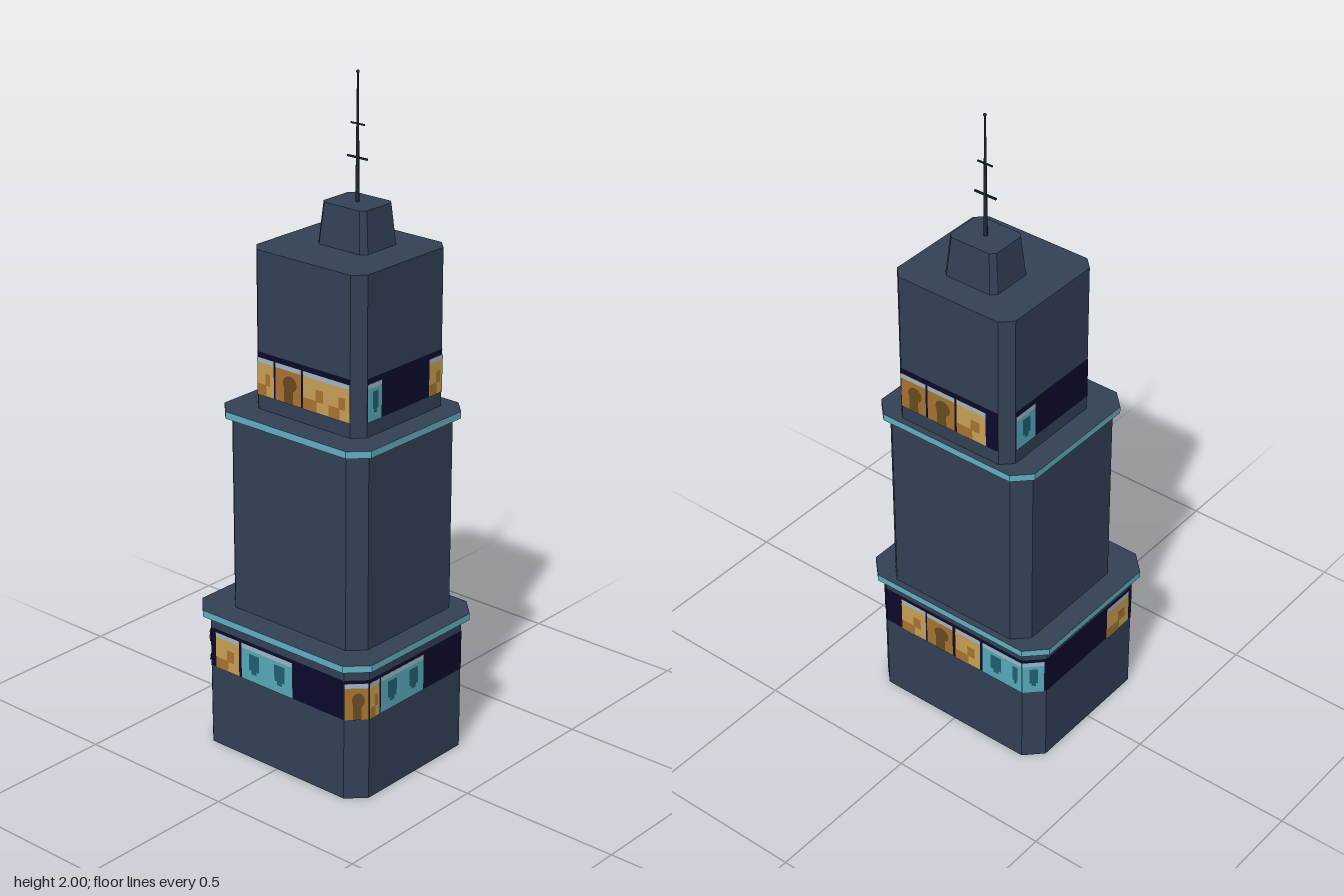
import * as THREE from 'three';

const mat = (name, color) => {
  const m = new THREE.MeshStandardMaterial({ color });
  m.name = name;
  return m;
};

export function createModel() {
  const M = {
    slate: mat('slate wall', 0x334155),
    navy: mat('dark glass', 0x0b0a2c),
    tan: mat('warm light', 0xc9a054),
    orange: mat('amber light', 0xa87430),
    brown: mat('brown silhouette', 0x6b4a20),
    cyan: mat('cool light', 0x58aabb),
    teal: mat('teal silhouette', 0x1f6070),
    pale: mat('pale blind', 0x9fb8c8),
    trim: mat('trim', 0x62b0c0),
    mast: mat('mast metal', 0x1e2733),
  };
  const model = new THREE.Group();
  model.name = 'tower';

  const add = (parent, name, geo, material, x = 0, y = 0, z = 0) => {
    const m = new THREE.Mesh(geo, material);
    m.name = name;
    m.position.set(x, y, z);
    parent.add(m);
    return m;
  };

  // Chamfered plan, walked left to right along each wall from outside, front wall first
  const plan = (hx, z0, z1, c) => [
    [-hx + c, z1], [hx - c, z1], [hx, z1 - c], [hx, z0 + c],
    [hx - c, z0], [-hx + c, z0], [-hx, z0 + c], [-hx, z1 - c],
  ];
  const prism = (pts, h) => {
    const shape = new THREE.Shape(pts.map(([x, z]) => new THREE.Vector2(x, -z)));
    return new THREE.ExtrudeGeometry(shape, { depth: h, bevelEnabled: false }).rotateX(-Math.PI / 2);
  };

  // Flat panel on wall i of a plan, between fractions u0..u1 and heights y0..y1
  const panel = (parent, name, pts, i, u0, u1, y0, y1, material, off, round = false) => {
    const a = pts[i], b = pts[(i + 1) % 8];
    const dx = b[0] - a[0], dz = b[1] - a[1], len = Math.hypot(dx, dz);
    const nx = -dz / len, nz = dx / len, u = (u0 + u1) / 2;
    const w = (u1 - u0) * len, h = y1 - y0;
    const geo = round ? new THREE.CircleGeometry(0.5, 12).scale(w, h, 1) : new THREE.PlaneGeometry(w, h);
    const m = add(parent, name, geo, material,
      a[0] + dx * u + nx * off, (y0 + y1) / 2, a[1] + dz * u + nz * off);
    m.rotation.y = Math.atan2(nx, nz);
  };

  // Lit window: glow, blind along the top, and silhouettes inside
  const litWindow = (parent, pts, [i, u0, u1, kind], y0, y1) => {
    const g = new THREE.Group();
    g.name = 'litWindow';
    parent.add(g);
    const U = (t) => u0 + (u1 - u0) * t, Y = (t) => y0 + (y1 - y0) * t;
    const put = (name, a, b, c, d, m, off, round) =>
      panel(g, name, pts, i, U(a), U(b), Y(c), Y(d), m, off, round);
    put('glow', 0, 1, 0, 1, M[kind], 0.003);
    put('blind', 0, 1, 0.88, 1, M.pale, 0.0045);
    if (kind === 'cyan') {
      put('figure', 0.32, 0.72, 0.32, 0.78, M.teal, 0.0045);
      put('figureBase', 0.42, 0.62, 0.22, 0.32, M.teal, 0.0045);
    } else if (kind === 'tan') {
      put('furniture', 0, 0.55, 0, 0.32, M.orange, 0.0045);
      put('figure', 0.5, 0.8, 0.3, 0.62, M.orange, 0.0045);
    } else {
      put('figureHead', 0.3, 0.85, 0.32, 0.75, M.brown, 0.0045, true);
      put('figureBody', 0.35, 0.7, 0, 0.45, M.brown, 0.0045);
    }
  };

  // Stacked tiers, flush at the back and stepped at the front
  const tiers = [
    { name: 'lowerTier', p: [0.305, -0.254, 0.254, 0.05], y: [0, 0.41] },
    { name: 'middleTier', p: [0.255, -0.254, 0.196, 0.044], y: [0.43, 1.02] },
    { name: 'upperTier', p: [0.203, -0.254, 0.132, 0.033], y: [1.04, 1.51] },
  ];
  for (const t of tiers) {
    t.pts = plan(...t.p);
    add(model, t.name, prism(t.pts, t.y[1] - t.y[0]), M.slate, 0, t.y[0], 0);
  }

  // Ledges with a bright edge
  const ledges = [
    [[0.325, -0.274, 0.274, 0.057], 0.41],
    [[0.273, -0.274, 0.212, 0.049], 1.02],
  ];
  for (const [p, y] of ledges) add(model, 'ledge', prism(plan(...p), 0.021), [M.slate, M.trim], 0, y, 0);

  // Lower window band wraps the whole tier; upper band covers only the four flat walls
  const bands = [
    { name: 'lowerWindowBand', pts: tiers[0].pts, walls: [0, 1, 2, 3, 4, 5, 6, 7], y: [0.252, 0.375], top: 0.365,
      lit: [
        [0, 0.04, 0.22, 'tan'], [0, 0.24, 0.43, 'cyan'], [0, 0.43, 0.625, 'cyan'],
        [1, 0.03, 0.97, 'orange'],
        [2, 0, 0.1, 'tan'], [2, 0.115, 0.345, 'cyan'], [2, 0.345, 0.575, 'cyan'],
        [4, 0.12, 0.3, 'tan'], [4, 0.31, 0.5, 'orange'], [4, 0.52, 0.7, 'tan'],
        [4, 0.72, 0.91, 'cyan'], [4, 0.91, 1, 'cyan'], [5, 0, 0.9, 'cyan'],
        [6, 0.7, 0.96, 'tan'], [7, 0.03, 0.97, 'orange'],
      ] },
    { name: 'upperWindowBand', pts: tiers[2].pts, walls: [0, 2, 4, 6], y: [1.085, 1.213], top: 1.197,
      lit: [
        [0, 0, 0.18, 'tan'], [0, 0.2, 0.48, 'orange'], [0, 0.5, 0.78, 'tan'], [0, 0.78, 1, 'tan'],
        [2, 0, 0.18, 'cyan'], [2, 0.82, 1, 'tan'],
        [4, 0, 0.26, 'orange'], [4, 0.28, 0.56, 'orange'], [4, 0.58, 0.88, 'tan'],
        [6, 0, 0.26, 'cyan'],
      ] },
  ];
  for (const b of bands) {
    const g = new THREE.Group();
    g.name = b.name;
    model.add(g);
    for (const i of b.walls) panel(g, 'darkGlass', b.pts, i, 0, 1, b.y[0], b.y[1], M.navy, 0.0015);
    for (const w of b.lit) litWindow(g, b.pts, w, b.y[0], b.top);
  }

  // Tapered roof block
  const roofZ = -0.093, roofH = 0.12;
  const roof = prism(plan(0.09, -0.076, 0.076, 0.016), roofH);
  const pos = roof.attributes.position;
  for (let i = 0; i < pos.count; i++) {
    if (pos.getY(i) > roofH / 2) pos.setXYZ(i, pos.getX(i) * 0.87, roofH, pos.getZ(i) * 0.86);
  }
  roof.computeVertexNormals();
  add(model, 'roofBlock', roof, M.slate, 0, 1.51, roofZ);

  // Antenna with two crossbars and a tip
  const antenna = new THREE.Group();
  antenna.name = 'antenna';
  antenna.position.set(0, 1.63, roofZ);
  model.add(antenna);
  add(antenna, 'mast', new THREE.CylinderGeometry(0.0025, 0.006, 0.364, 8), M.mast, 0, 0.182, 0);
  add(antenna, 'lowerCrossbar', new THREE.BoxGeometry(0.072, 0.005, 0.005), M.mast, 0, 0.125, 0);
  add(antenna, 'upperCrossbar', new THREE.BoxGeometry(0.05, 0.004, 0.004), M.mast, 0, 0.22, 0);
  add(antenna, 'tip', new THREE.SphereGeometry(0.005, 8, 6), M.mast, 0, 0.365, 0);

  return model;
}
